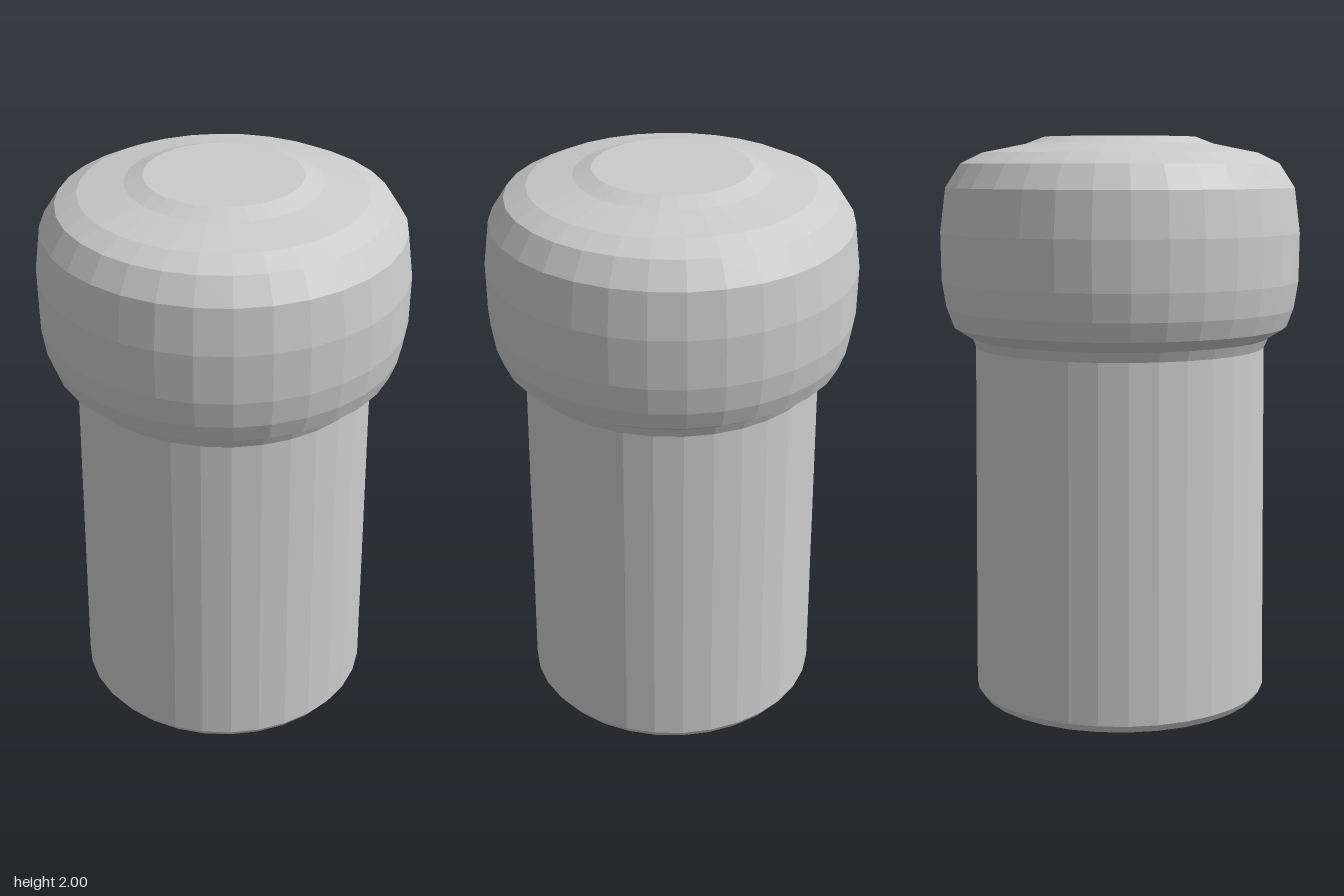
import * as THREE from 'three';

const SIDES = 32;

// Faceted solid of revolution from [radius, height] points, bottom to top
function turned(name, points, material) {
  const profile = points.map(([r, y]) => new THREE.Vector2(r, y));
  const mesh = new THREE.Mesh(new THREE.LatheGeometry(profile, SIDES), material);
  mesh.name = name;
  return mesh;
}

export function createModel() {
  const group = new THREE.Group();
  group.name = 'stopper';
  const material = new THREE.MeshStandardMaterial({ color: 0xcccccc, flatShading: true });

  // Slightly tapered shaft with a chamfered foot
  group.add(turned('shaft', [
    [0, 0], [0.507, 0], [0.526, 0.027], [0.514, 1.265],
  ], material));

  // Flared neck where the shaft meets the head
  group.add(turned('neck', [
    [0.514, 1.265], [0.53, 1.3], [0.593, 1.34],
  ], material));

  // Bulging head with a shallow raised disc on top
  group.add(turned('head', [
    [0.593, 1.34], [0.617, 1.405], [0.632, 1.5], [0.634, 1.67], [0.614, 1.825],
    [0.56, 1.908], [0.485, 1.945], [0.33, 1.976], [0.267, 2], [0, 2],
  ], material));

  return group;
}
